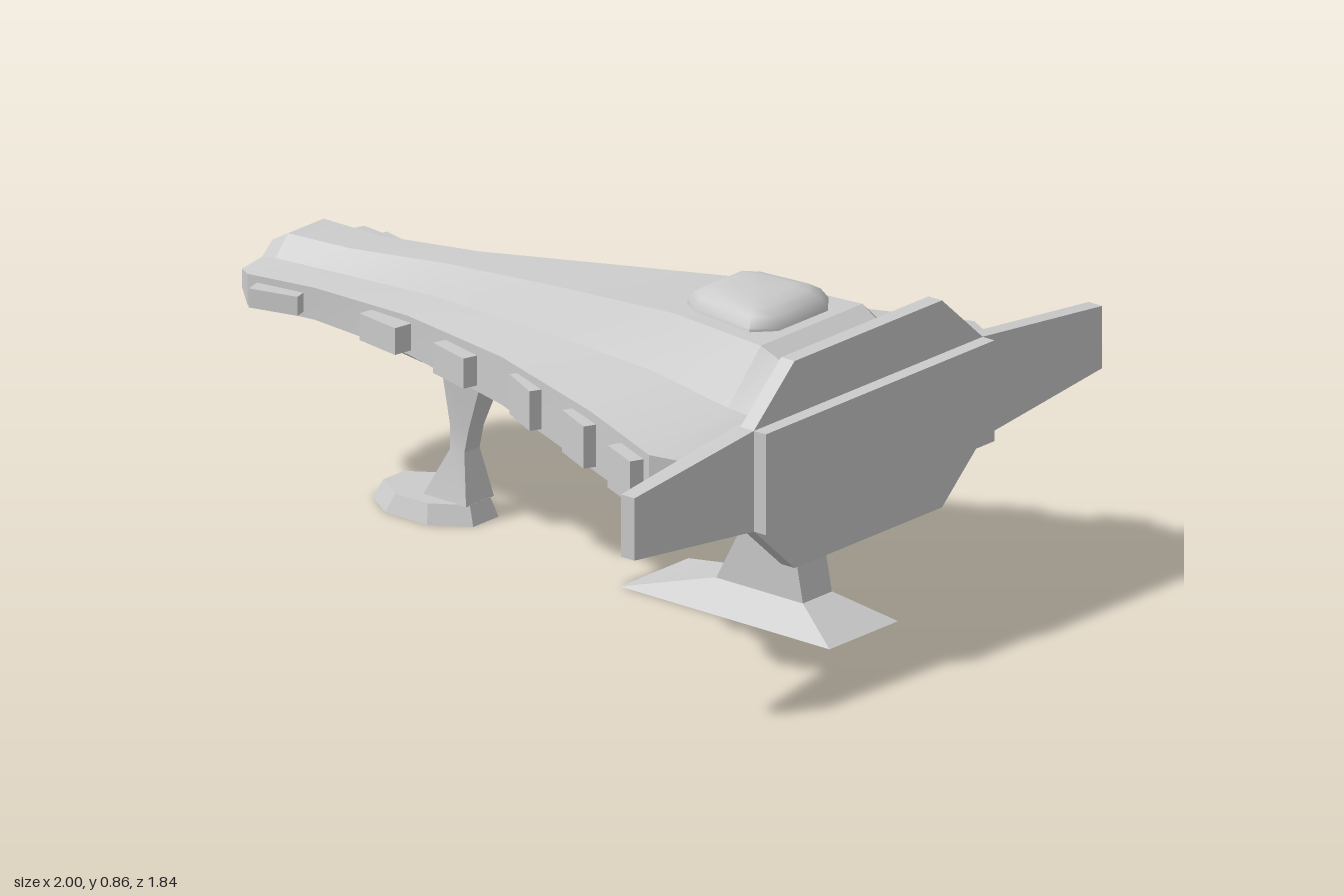
import * as THREE from 'three';
import { toCreasedNormals } from 'three/addons/utils/BufferGeometryUtils.js';

const material = new THREE.MeshStandardMaterial({ color: 0xcccccc });

// Skin a list of matching point rings and close both ends.
function loft(name, rings, crease) {
  const pos = [];
  const tri = (...pts) => pts.forEach((p) => pos.push(...p));
  const n = rings[0].length;
  const centre = (ring) => [0, 1, 2].map((k) => ring.reduce((s, p) => s + p[k], 0) / n);
  const first = rings[0], last = rings[rings.length - 1];
  const c0 = centre(first), c1 = centre(last);
  for (let j = 0; j < n; j++) {
    const k = (j + 1) % n;
    for (let i = 0; i < rings.length - 1; i++) {
      const a = rings[i], b = rings[i + 1];
      tri(a[j], a[k], b[j]);
      tri(a[k], b[k], b[j]);
    }
    tri(c0, first[k], first[j]);
    tri(c1, last[j], last[k]);
  }
  const geo = new THREE.BufferGeometry();
  geo.setAttribute('position', new THREE.Float32BufferAttribute(pos, 3));
  const mesh = new THREE.Mesh(toCreasedNormals(geo, crease), material);
  mesh.name = name;
  return mesh;
}

// Twelve-sided hull section: half widths a, b, c and heights from top to bottom.
function section([x, a, b, c, top, m, n, n2, m2, bot]) {
  const half = [[a, top], [b, m], [c, n], [c, n2], [b, m2], [a, bot]];
  const right = half.map(([z, y]) => [x, y, z]);
  const left = half.map(([z, y]) => [x, y, -z]).reverse();
  return [...right, ...left];
}

// Rectangular horizontal section.
const rect = (y, x0, x1, z) => [[x1, y, z], [x1, y, -z], [x0, y, -z], [x0, y, z]];

// Horizontal section with clipped corners.
function clipped(y, x0, x1, z, cut, endZ) {
  return [[x1, y, endZ], [x1, y, -endZ], [x1 - cut, y, -z], [x0 + cut, y, -z],
    [x0, y, -endZ], [x0, y, endZ], [x0 + cut, y, z], [x1 - cut, y, z]];
}

export function createModel() {
  const model = new THREE.Group();
  model.name = 'starship';

  // Hull, nose to stern, ending in the flared tail plate
  const stations = [
    [-1.0, 0.05, 0.09, 0.17, 0.62, 0.585, 0.575, 0.525, 0.515, 0.48],
    [-0.93, 0.07, 0.12, 0.23, 0.66, 0.607, 0.595, 0.51, 0.495, 0.45],
    [-0.73, 0.06, 0.105, 0.2, 0.665, 0.61, 0.597, 0.51, 0.492, 0.443],
    [-0.4, 0.06, 0.11, 0.22, 0.703, 0.628, 0.607, 0.502, 0.474, 0.402],
    [0.0, 0.105, 0.17, 0.32, 0.753, 0.651, 0.621, 0.491, 0.45, 0.352],
    [0.45, 0.165, 0.255, 0.5, 0.805, 0.675, 0.635, 0.48, 0.427, 0.3],
    [0.77, 0.2, 0.33, 0.64, 0.805, 0.672, 0.632, 0.48, 0.43, 0.3],
    [0.84, 0.19, 0.315, 0.61, 0.77, 0.66, 0.625, 0.48, 0.44, 0.325],
    [0.915, 0.29, 0.45, 0.92, 0.835, 0.69, 0.64, 0.47, 0.415, 0.27],
    [0.96, 0.29, 0.45, 0.92, 0.835, 0.69, 0.64, 0.47, 0.415, 0.27],
  ];
  model.add(loft('hull', stations.map(section), 0.4));

  // Engine block on the tail plate
  const engine = new THREE.Mesh(new THREE.BoxGeometry(0.05, 0.275, 0.9), material);
  engine.position.set(0.975, 0.5525, 0);
  engine.name = 'engineBlock';
  model.add(engine);

  // Soft-edged dome on the deck
  const outline = [[0.735, 0.09], [0.735, -0.105], [0.685, -0.165], [0.475, -0.145],
    [0.42, -0.11], [0.42, 0.08], [0.475, 0.12], [0.685, 0.145]];
  const domeRing = ([y, s]) => outline.map(([x, z]) =>
    [0.585 + (x - 0.585) * s, y, -0.01 + (z + 0.01) * s]);
  const domeProfile = [[0.78, 1], [0.812, 1], [0.838, 0.89], [0.855, 0.72], [0.863, 0.5]];
  model.add(loft('dome', domeProfile.map(domeRing), 0.95));

  // Side pods, each set by its outer edge (x0, z0 to x1, z1) and its height range
  const pods = [
    [-0.89, 0.272, -0.755, 0.238, 0.525, 0.577],
    [-0.535, 0.252, -0.395, 0.276, 0.517, 0.59],
    [-0.25, 0.297, -0.115, 0.335, 0.51, 0.592],
    [0.07, 0.37, 0.19, 0.432, 0.497, 0.605],
    [0.35, 0.49, 0.47, 0.547, 0.495, 0.61],
    [0.605, 0.61, 0.725, 0.663, 0.495, 0.61],
  ];
  const depth = 0.09;
  for (const side of [1, -1]) {
    for (const [x0, z0, x1, z1, y0, y1] of pods) {
      const dx = x1 - x0, dz = z1 - z0, len = Math.hypot(dx, dz);
      const pod = new THREE.Mesh(new THREE.BoxGeometry(len, y1 - y0, depth), material);
      pod.position.set((x0 + x1) / 2 + (dz / len) * depth / 2, (y0 + y1) / 2,
        side * ((z0 + z1) / 2 - (dx / len) * depth / 2));
      pod.rotation.y = -side * Math.atan2(dz, dx);
      pod.name = side > 0 ? 'leftPod' : 'rightPod';
      model.add(pod);
    }
  }

  // Landing gear under the nose
  model.add(loft('noseFoot', [
    clipped(0, -0.665, -0.325, 0.115, 0.1, 0.05),
    clipped(0.052, -0.635, -0.345, 0.1, 0.09, 0.04),
  ], 0.3));
  model.add(loft('noseLeg', [
    rect(0.05, -0.49, -0.345, 0.055),
    rect(0.185, -0.42, -0.372, 0.03),
    rect(0.25, -0.42, -0.358, 0.03),
    rect(0.44, -0.438, -0.288, 0.05),
  ], 0.3));

  // Landing gear under the stern
  model.add(loft('sternFoot', [rect(0, 0.24, 0.945, 0.135), rect(0.065, 0.495, 0.79, 0.058)], 0.3));
  model.add(loft('sternLeg', [rect(0.06, 0.495, 0.79, 0.057), rect(0.32, 0.635, 0.738, 0.057)], 0.3));

  return model;
}
